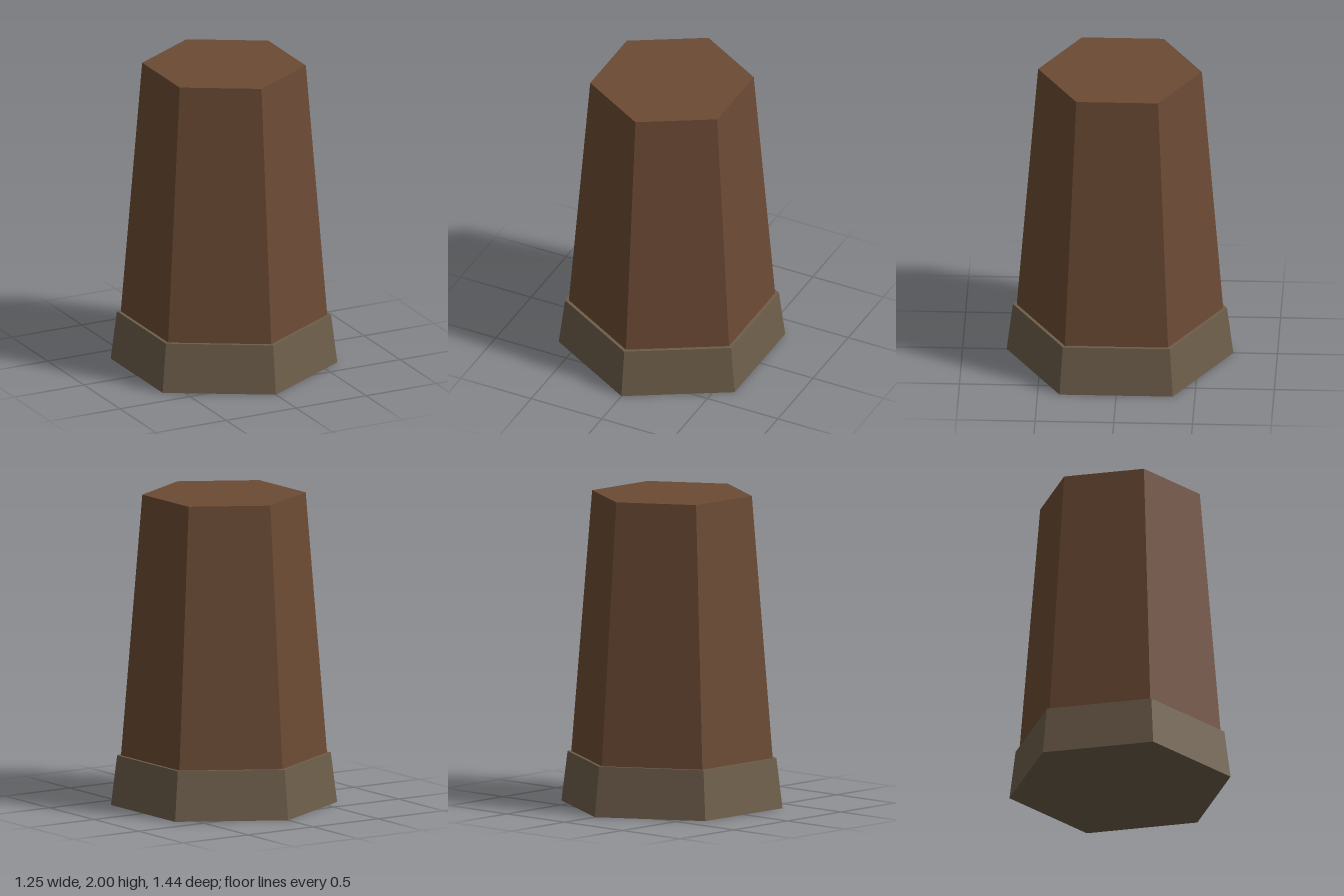
import * as THREE from 'three';

const SIDES = 6;

// Tapered hexagonal prism standing between two heights, corners facing +z and -z
function hexPrism(name, topRadius, bottomRadius, y0, y1, material) {
  const geometry = new THREE.CylinderGeometry(topRadius, bottomRadius, y1 - y0, SIDES).toNonIndexed();
  geometry.computeVertexNormals();
  const mesh = new THREE.Mesh(geometry, material);
  mesh.name = name;
  mesh.position.y = (y0 + y1) / 2;
  return mesh;
}

export function createModel() {
  const wood = new THREE.MeshStandardMaterial({ color: 0x6b4a34 });
  wood.name = 'brown';
  wood.flatShading = true;
  const stone = new THREE.MeshStandardMaterial({ color: 0x6e5e4a });
  stone.name = 'greyBrown';
  stone.flatShading = true;

  const model = new THREE.Group();
  model.name = 'hexagonalPost';

  // Wider collar at the foot
  model.add(hexPrism('baseCollar', 0.68, 0.72, 0, 0.32, stone));
  // Tall tapering shaft, sunk into the collar
  model.add(hexPrism('shaft', 0.52, 0.68, 0.02, 2, wood));

  return model;
}
